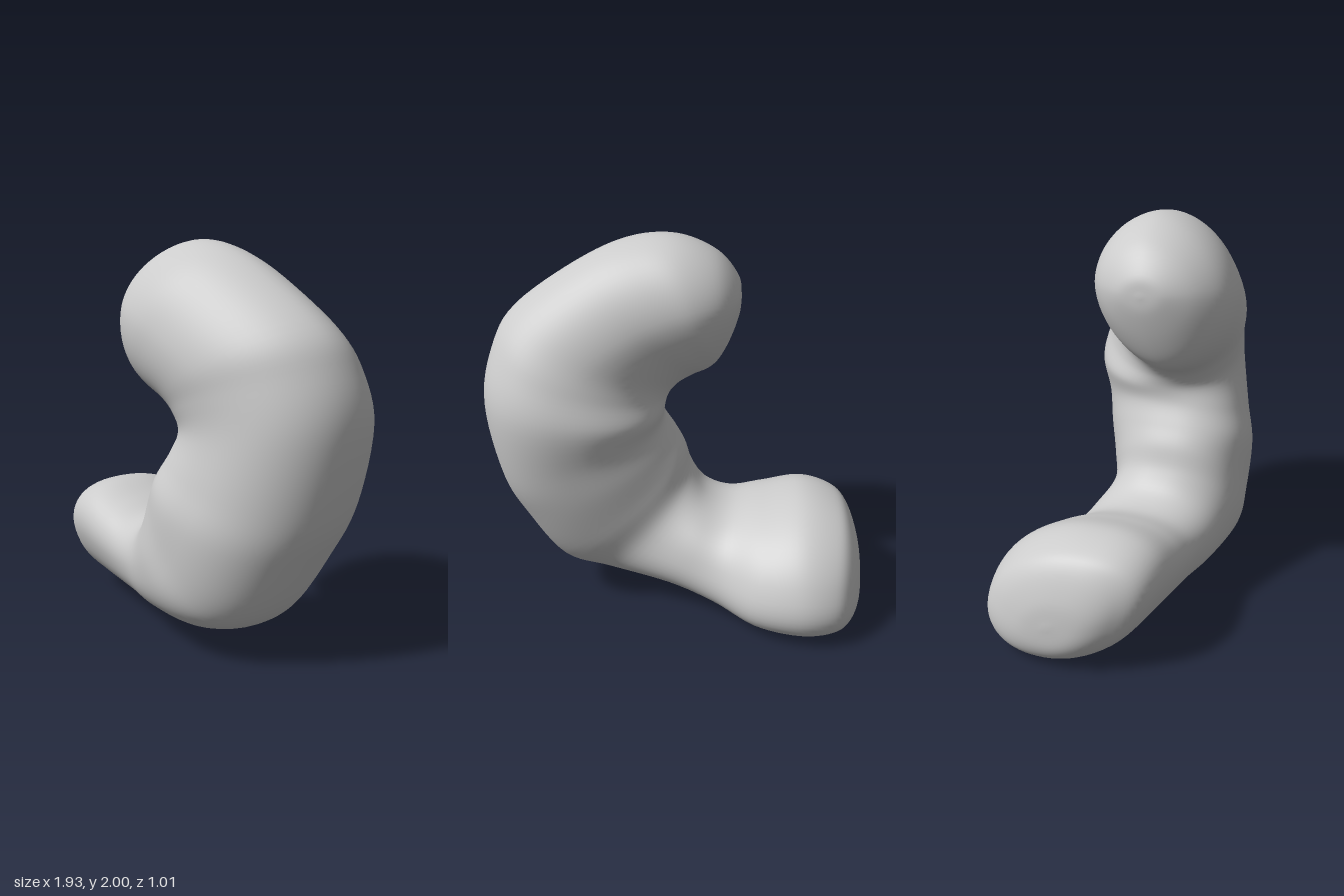
import * as THREE from 'three';
import { mergeVertices } from 'three/addons/utils/BufferGeometryUtils.js';

// Cross-sections from the foot tip to the head tip:
// inner x, y | outer x, y | z centre, z half-width, z lean of the outer edge
const SECTIONS = [
  [-0.97, 0.26, -0.97, 0.26, -0.09, 0, 0],
  [-0.955, 0.40, -0.96, 0.13, -0.08, 0.16, -0.05],
  [-0.90, 0.55, -0.91, 0.05, -0.08, 0.29, -0.09],
  [-0.82, 0.62, -0.82, 0.015, -0.07, 0.38, -0.12],
  [-0.65, 0.66, -0.65, 0.005, -0.065, 0.42, -0.13],
  [-0.45, 0.61, -0.42, 0.02, -0.03, 0.405, -0.11],
  [-0.28, 0.57, -0.20, 0.06, 0.045, 0.35, -0.06],
  [-0.15, 0.61, 0.05, 0.10, 0.105, 0.34, -0.01],
  [-0.07, 0.71, 0.40, 0.15, 0.155, 0.34, 0],
  [-0.03, 0.83, 0.63, 0.26, 0.13, 0.365, -0.03],
  [0.02, 0.92, 0.80, 0.55, 0.095, 0.395, -0.06],
  [0.07, 1.02, 0.90, 0.80, 0.05, 0.39, -0.07],
  [0.07, 1.10, 0.96, 1.20, 0.005, 0.39, -0.06],
  [0.05, 1.17, 0.91, 1.47, 0.035, 0.37, -0.08],
  [0.00, 1.22, 0.80, 1.66, 0.075, 0.36, -0.08],
  [-0.08, 1.26, 0.50, 1.87, 0.115, 0.35, -0.07],
  [-0.16, 1.30, 0.25, 1.98, 0.13, 0.345, -0.05],
  [-0.21, 1.36, 0.02, 2.00, 0.125, 0.32, -0.04],
  [-0.26, 1.47, -0.18, 1.92, 0.12, 0.24, -0.02],
  [-0.30, 1.60, -0.29, 1.79, 0.12, 0.12, 0],
  [-0.31, 1.69, -0.31, 1.69, 0.12, 0, 0],
];

const smooth = (pick) =>
  new THREE.CatmullRomCurve3(SECTIONS.map((s) => new THREE.Vector3(...pick(s))), false, 'catmullrom', 0.5);

// Power below 1 squares the circle a little, above 1 narrows its ends
const shaped = (v, power) => Math.sign(v) * Math.abs(v) ** power;

function loftBody(rings, sides) {
  const inner = smooth((s) => [s[0], s[1], 0]);
  const outer = smooth((s) => [s[2], s[3], 0]);
  const depth = smooth((s) => [s[4], s[5], s[6]]);
  const positions = [];
  const index = [];
  for (let i = 0; i <= rings; i++) {
    const u = i / rings;
    const a = inner.getPoint(u);
    const b = outer.getPoint(u);
    const d = depth.getPoint(u);
    // Squarer foot and trunk, narrower head
    const power = 0.9 + 0.18 * THREE.MathUtils.smoothstep(u, 0.55, 0.75);
    for (let j = 0; j < sides; j++) {
      const t = (j / sides) * Math.PI * 2;
      const c = shaped(Math.cos(t), power);
      const s = shaped(Math.sin(t), power);
      positions.push(
        (a.x + b.x) / 2 + ((b.x - a.x) / 2) * c,
        (a.y + b.y) / 2 + ((b.y - a.y) / 2) * c,
        d.x + d.y * s + d.z * c,
      );
      if (i === rings) continue;
      const p = i * sides + j;
      const q = i * sides + ((j + 1) % sides);
      index.push(p, p + sides, q, q, p + sides, q + sides);
    }
  }
  let geometry = new THREE.BufferGeometry();
  geometry.setAttribute('position', new THREE.Float32BufferAttribute(positions, 3));
  geometry.setIndex(index);
  geometry = mergeVertices(geometry, 1e-4);
  geometry.computeVertexNormals();
  return geometry;
}

export function createModel() {
  const group = new THREE.Group();
  group.name = 'curledForm';
  // One continuous curled body: foot, bend, trunk and head
  const body = new THREE.Mesh(loftBody(120, 64), new THREE.MeshStandardMaterial({ color: 0xcccccc }));
  body.name = 'body';
  group.add(body);
  return group;
}
